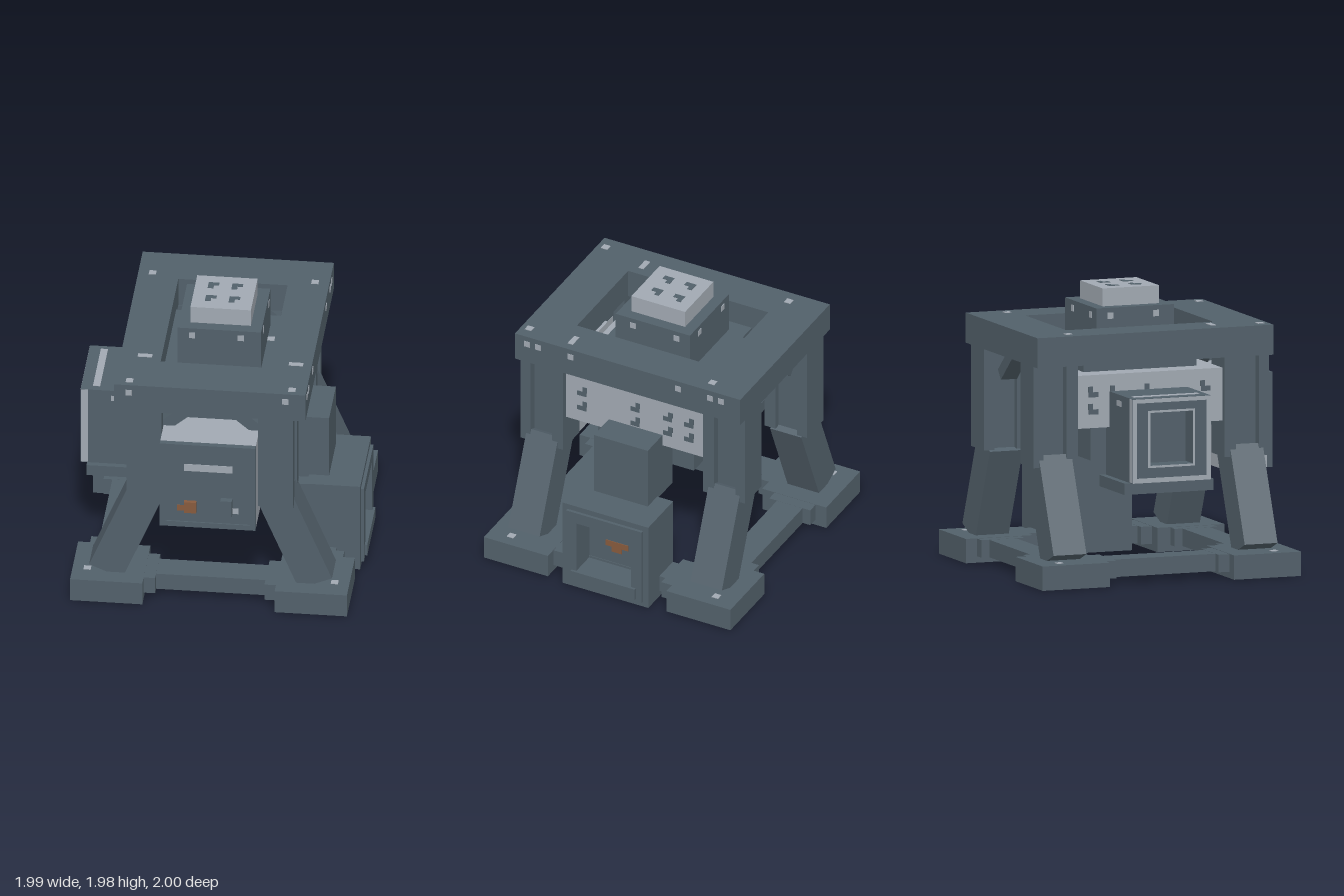
import * as THREE from 'three';

const steel = new THREE.MeshStandardMaterial({ color: 0x52606a });
steel.name = 'dark steel';
const bare = new THREE.MeshStandardMaterial({ color: 0xa1a9b2 });
bare.name = 'bare metal';
const rust = new THREE.MeshStandardMaterial({ color: 0x875a3d });
rust.name = 'rust';

const CX = -0.035; // symmetry plane of the frame
const CZ = -0.037;

export function createModel() {
  const model = new THREE.Group();
  model.name = 'machine';

  // Box given by its limits on each axis
  function box(name, mat, x0, x1, y0, y1, z0, z1) {
    const mesh = new THREE.Mesh(new THREE.BoxGeometry(x1 - x0, y1 - y0, z1 - z0), mat);
    mesh.position.set((x0 + x1) / 2, (y0 + y1) / 2, (z0 + z1) / 2);
    mesh.name = name;
    model.add(mesh);
    return mesh;
  }
  // Rectangular frame in the YZ plane, with its own width on each side
  function sideFrame(name, mat, x0, x1, [y0, y1, z0, z1], [v0, v1, w0, w1]) {
    box(name, mat, x0, x1, y0, v0, z0, z1);
    box(name, mat, x0, x1, v1, y1, z0, z1);
    box(name, mat, x0, x1, v0, v1, z0, w0);
    box(name, mat, x0, x1, v0, v1, w1, z1);
  }
  const chipTop = (x, y, z, s = 0.025) =>
    box('paintChip', bare, x - s, x + s, y - 0.003, y + 0.003, z - s, z + s);
  const chipFront = (x, y, z, s = 0.022) =>
    box('paintChip', bare, x - s, x + s, y - s, y + s, z - 0.003, z + 0.003);
  const chipSide = (x, y, z, s = 0.022) =>
    box('paintChip', bare, x - 0.003, x + 0.003, y - s, y + s, z - s, z + s);

  // Four corners: feet, collars, slanted legs, posts
  for (const sx of [-1, 1]) {
    for (const sz of [-1, 1]) {
      const span = (name, mat, a0, a1, y0, y1, b0, b1) => {
        const xs = [CX + sx * a0, CX + sx * a1].sort((p, q) => p - q);
        const zs = [CZ + sz * b0, CZ + sz * b1].sort((p, q) => p - q);
        return box(name, mat, xs[0], xs[1], y0, y1, zs[0], zs[1]);
      };
      span('foot', steel, 0.46, 0.963, 0, 0.17, 0.463, 0.963);
      span('footCollar', steel, 0.56, 0.88, 0.045, 0.168, 0.38, 0.5);
      span('footCollar', steel, 0.38, 0.5, 0.045, 0.168, 0.56, 0.88);
      span('postFlange', steel, 0.335, 0.58, 0.8, 1.51, 0.547, 0.632);
      span('postFlange', steel, 0.335, 0.58, 0.8, 1.51, 0.802, 0.877);
      span('postWeb', steel, 0.38, 0.52, 0.8, 1.5, 0.63, 0.805);
      const leg = new THREE.Mesh(new THREE.BoxGeometry(0.25, 0.72, 0.245), steel);
      leg.name = 'slantedLeg';
      leg.position.set(CX + sx * 0.59, 0.505, CZ + sz * 0.712);
      leg.rotation.z = sx * 0.398;
      model.add(leg);
      // Diagonal brace under the top frame
      const brace = new THREE.Mesh(new THREE.BoxGeometry(0.3, 0.085, 0.12), steel);
      brace.name = 'diagonalBrace';
      brace.position.set(CX + sx * 0.23, 1.42, CZ + sz * 0.7);
      brace.rotation.z = -sx * 0.7;
      model.add(brace);
      chipTop(CX + sx * 0.86, 0.171, CZ + sz * 0.8);
      chipTop(CX + sx * 0.565, 1.721, CZ + sz * 0.815 - (sz < 0 ? -0.2 : 0));
      for (const [a, b] of [[0.55, 0.55], [0.55, 0.87], [0.87, 0.55], [0.87, 0.87]])
        chipTop(CX + sx * a, 0, CZ + sz * b, 0.012);
    }
  }

  // Base beams
  for (const s of [-1, 1]) {
    const x = CX + s * 0.72, z = CZ + s * 0.72;
    box('sideBeam', steel, x - 0.1, x + 0.1, 0.045, 0.167, -0.5, 0.43);
    box('crossBeam', steel, -0.5, 0.43, 0.045, 0.167, z - 0.1, z + 0.1);
  }

  // Top frame around its opening
  box('topFrame', steel, -0.70, 0.63, 1.51, 1.72, 0.505, 0.84);
  box('topFrame', steel, -0.70, 0.63, 1.51, 1.72, -0.92, -0.59);
  box('topFrame', steel, -0.70, -0.415, 1.51, 1.72, -0.59, 0.505);
  box('topFrame', steel, 0.345, 0.63, 1.51, 1.72, -0.59, 0.505);
  for (const x of [-0.6, 0.49]) chipFront(x, 1.66, 0.841);
  for (const z of [0.745, 0.66, 0.405, -0.435, -0.685, -0.77]) chipSide(0.631, 1.66, z);
  for (const x of [-0.53, 0.52]) box('paintChip', bare, x - 0.05, x + 0.05, 1.718, 1.724, 0.42, 0.46);
  for (const [x, z] of [[0.28, -0.15], [0.28, 0.27], [-0.14, 0.27]]) chipTop(x, 1.551, z);

  // Core, stack and cap
  box('core', bare, -0.57, 0.50, 1.05, 1.42, -0.59, 0.51);
  box('coreFrontStrip', steel, -0.37, 0.30, 1.05, 1.38, 0.508, 0.515);
  box('coreTop', steel, -0.415, 0.345, 1.42, 1.55, -0.46, 0.38);
  box('coreTopBack', steel, -0.28, 0.215, 1.42, 1.55, -0.59, -0.46);
  box('stack', steel, -0.325, 0.255, 1.5, 1.845, -0.33, 0.25);
  box('cap', bare, -0.245, 0.175, 1.845, 1.97, -0.25, 0.17);
  for (const s of [-0.205, 0.135]) {
    chipFront(s - 0.02, 1.79, 0.251);
    chipSide(0.256, 1.79, s - 0.02);
    chipFront(s - 0.02, 1.79, -0.331);
    chipSide(-0.326, 1.79, s - 0.02);
  }
  // L-shaped slots in the cap and in the core sides
  for (const x of [-0.12, 0.045]) {
    for (const z of [-0.13, 0.04]) {
      box('capSlot', steel, x - 0.035, x + 0.04, 1.967, 1.973, z - 0.035, z);
      box('capSlot', steel, x - 0.035, x + 0.005, 1.967, 1.973, z, z + 0.04);
    }
  }
  for (const x of [-0.57, 0.50]) {
    for (const z of [0.38, -0.035, -0.29, -0.455]) {
      for (const y of [1.3, 1.18]) {
        box('coreSlot', steel, x - 0.004, x + 0.004, y - 0.035, y, z - 0.03, z + 0.04);
        box('coreSlot', steel, x - 0.004, x + 0.004, y, y + 0.04, z - 0.035, z);
      }
    }
  }

  // Block under the core
  box('lowerBlock', steel, -0.42, 0.35, 0.8, 1.05, -0.41, 0.34);
  box('rustedPlate', rust, -0.2, 0.13, 0.77, 0.8, -0.285, 0.215);
  box('frontBracket', steel, -0.2, 0.13, 0.97, 1.05, 0.465, 0.62);
  for (const z of [0.24, -0.27]) chipSide(0.351, 0.99, z);

  // Front control box
  box('controlBox', bare, -0.37, 0.295, 0.675, 1.34, 0.6, 0.925);
  box('controlPanel', steel, -0.33, 0.26, 0.715, 1.305, 0.92, 0.955);
  box('panelRim', steel, -0.37, 0.295, 0.675, 0.715, 0.925, 0.965);
  box('panelRim', steel, -0.37, 0.295, 1.305, 1.34, 0.925, 0.965);
  box('panelRim', steel, -0.37, -0.33, 0.715, 1.305, 0.925, 0.965);
  box('panelRim', steel, 0.26, 0.295, 0.715, 1.305, 0.925, 0.965);
  box('labelStrip', bare, -0.2, 0.135, 1.125, 1.18, 0.952, 0.959);
  box('rustedButton', rust, -0.2, -0.115, 0.8, 0.885, 0.95, 0.985);
  box('rustStain', rust, -0.25, -0.2, 0.8, 0.845, 0.952, 0.958);
  box('switch', steel, 0.055, 0.135, 0.795, 0.92, 0.95, 1.0);
  chipFront(0.155, 0.82, 0.956);

  // Housing on the right-hand side with an open window
  const outer = [0.71, 1.3, -0.33, 0.25], hole = [0.83, 1.2, -0.2, 0.12];
  box('sideHousing', steel, -0.86, -0.5, 0.71, 1.3, -0.33, 0.25);
  sideFrame('housingFrame', steel, -1, -0.86, outer, hole);
  sideFrame('wornFrameEdge', bare, -1.001, -0.997, [0.712, 1.298, -0.328, 0.248], [0.745, 1.27, -0.3, 0.22]);
  sideFrame('wornWindowEdge', bare, -1.001, -0.997, [0.815, 1.215, -0.215, 0.135], hole);
  box('housingBase', steel, -0.955, -0.5, 0.63, 0.71, -0.375, 0.29);
  for (const z of [-0.33, 0.25]) {
    box('wornCorner', bare, -0.998, -0.95, 0.715, 1.298, z - 0.003, z + 0.003);
    box('paintChip', bare, -0.79, -0.71, 1.22, 1.26, z - 0.003, z + 0.003);
  }
  box('wornTopStrip', bare, -0.92, -0.87, 1.298, 1.303, -0.29, 0.2);

  // Column and floor-standing cabinet on the left-hand side
  box('column', steel, 0.35, 0.72, 0.65, 1.135, -0.245, 0.175);
  const opening = [0.15, 0.545, -0.245, 0.18];
  box('cabinet', steel, 0.58, 0.78, 0, 0.67, -0.37, 0.30);
  sideFrame('cabinetFrame', steel, 0.78, 0.95, [0, 0.67, -0.37, 0.30], opening);
  sideFrame('cabinetDoorRim', steel, 0.95, 0.972, [0.04, 0.63, -0.33, 0.26], opening);
  box('cabinetLip', steel, 0.97, 0.99, 0.065, 0.15, -0.285, 0.215);
  box('rustStain', rust, 0.778, 0.785, 0.295, 0.34, -0.125, 0.05);
  box('rustStain', rust, 0.778, 0.785, 0.255, 0.295, -0.075, 0.005);

  return model;
}
